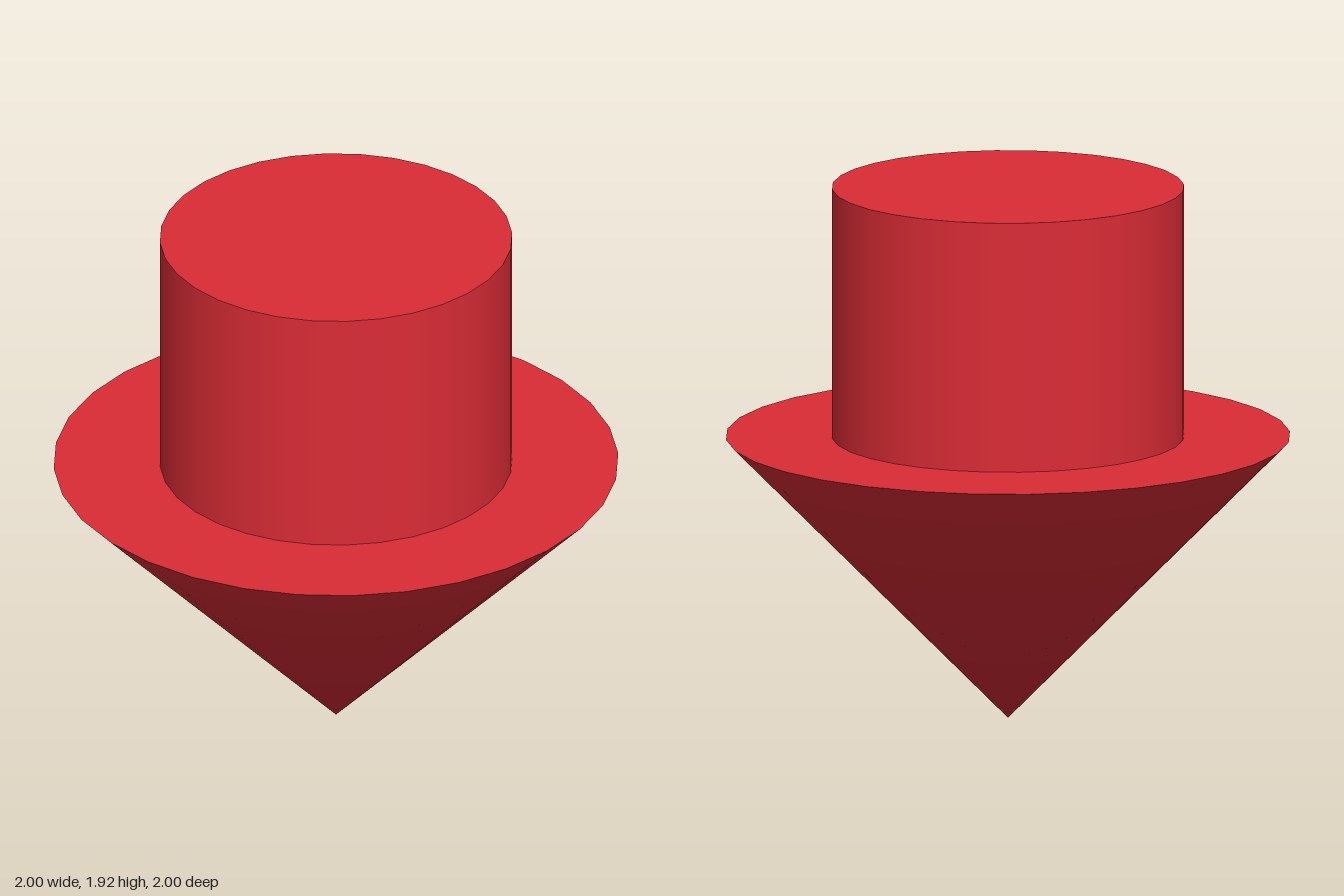
import * as THREE from 'three';

const SIDES = 32;
const HEAD_HEIGHT = 1.02;
const TOP = 1.92;

export function createModel() {
  const group = new THREE.Group();
  group.name = 'downArrow';
  const red = new THREE.MeshStandardMaterial({ color: 0xdb2c36 });

  // Pointed head: closed cone with its tip on the ground
  const headGeometry = new THREE.CylinderGeometry(1, 0, HEAD_HEIGHT, SIDES);
  headGeometry.translate(0, HEAD_HEIGHT / 2, 0);
  // Smooth the tip: every tip normal points straight down
  const { position, normal } = headGeometry.attributes;
  for (let i = 0; i < position.count; i++) {
    if (position.getY(i) < 1e-4) normal.setXYZ(i, 0, -1, 0);
  }
  const head = new THREE.Mesh(headGeometry, red);
  head.name = 'arrowHead';
  group.add(head);

  // Round shaft standing on the flat of the head
  const shaftHeight = TOP - HEAD_HEIGHT;
  const shaft = new THREE.Mesh(
    new THREE.CylinderGeometry(0.624, 0.624, shaftHeight, SIDES), red);
  shaft.position.y = HEAD_HEIGHT + shaftHeight / 2;
  shaft.name = 'arrowShaft';
  group.add(shaft);

  return group;
}
